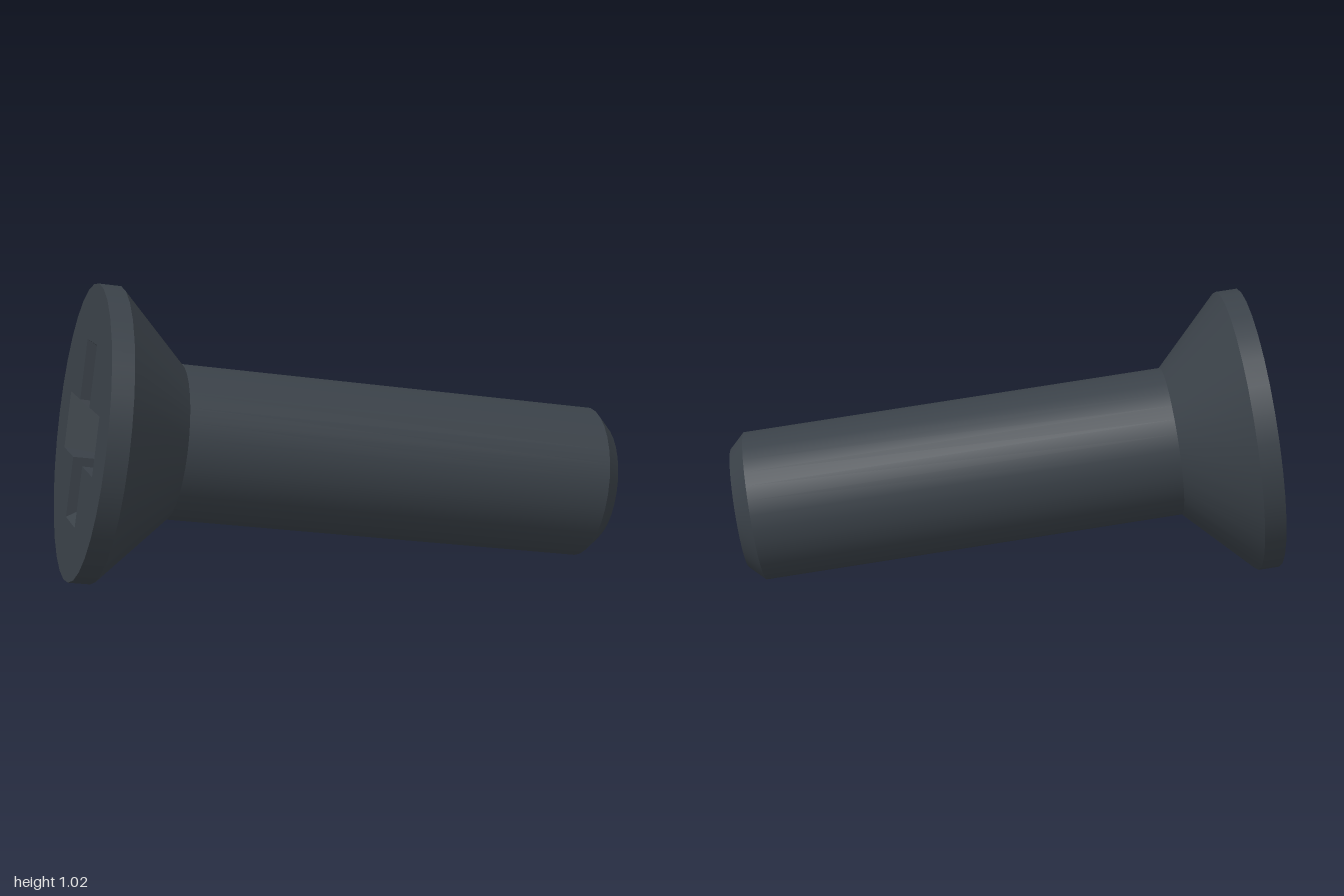
import * as THREE from 'three';

const SEG = 32;
const HEAD_R = 0.508, SHAFT_R = 0.268, TIP_R = 0.215;
const RIM = 0.075, NECK = 0.314, SHAFT_END = 1.825, TIP = 1.88;
// cross recess: half width, arm reach at the face, arm reach at the floor, depth
const W = 0.1, REACH = 0.31, FLOOR = 0.15, DEPTH = 0.27;

// flat faces from quads given as four corners each
function quads(list) {
  const pos = [];
  for (const [a, b, c, d] of list) pos.push(...a, ...b, ...c, ...a, ...c, ...d);
  const g = new THREE.BufferGeometry();
  g.setAttribute('position', new THREE.Float32BufferAttribute(pos, 3));
  g.computeVertexNormals();
  return g;
}

export function createModel() {
  const steel = new THREE.MeshStandardMaterial({ color: 0x3a4148 });
  steel.name = 'dark steel';

  const screw = new THREE.Group();
  screw.name = 'screw';
  const add = (name, geometry, parent = screw) => {
    const mesh = new THREE.Mesh(geometry, steel);
    mesh.name = name;
    parent.add(mesh);
    return mesh;
  };

  // round sections along the local y axis, head face at y = 0
  const section = (name, r0, y0, r1, y1) => {
    const g = new THREE.CylinderGeometry(r1, r0, y1 - y0, SEG, 1, true);
    g.translate(0, (y0 + y1) / 2, 0);
    add(name, g);
  };
  section('headRim', HEAD_R, 0, HEAD_R, RIM);
  section('countersink', HEAD_R, RIM, SHAFT_R, NECK);
  section('shaft', SHAFT_R, NECK, SHAFT_R, SHAFT_END);
  section('tipChamfer', SHAFT_R, SHAFT_END, TIP_R, TIP);
  add('tipFace', new THREE.CircleGeometry(TIP_R, SEG).rotateX(-Math.PI / 2).translate(0, TIP, 0));

  // head face with a cross-shaped opening
  const face = new THREE.Shape();
  face.absarc(0, 0, HEAD_R, 0, Math.PI * 2);
  const outline = [];
  for (let i = 0; i < 4; i++) {
    for (const [x, y] of [[REACH, -W], [REACH, W], [W, W]]) {
      outline.push(new THREE.Vector2(x, y).rotateAround(new THREE.Vector2(), i * Math.PI / 2));
    }
  }
  face.holes.push(new THREE.Path(outline));
  add('headFace', new THREE.ShapeGeometry(face, SEG / 2).rotateX(Math.PI / 2));

  // recess: four arms with straight sides and sloping ends
  const recess = new THREE.Group();
  recess.name = 'crossRecess';
  screw.add(recess);
  const side = (x) => [[x, 0, REACH], [x, 0, W], [x, DEPTH, W], [x, DEPTH, FLOOR]];
  const arm = quads([
    side(W).reverse(),
    side(-W),
    [[-W, DEPTH, FLOOR], [W, DEPTH, FLOOR], [W, 0, REACH], [-W, 0, REACH]],
    [[-W, DEPTH, W], [W, DEPTH, W], [W, DEPTH, FLOOR], [-W, DEPTH, FLOOR]],
  ]);
  for (let i = 0; i < 4; i++) add('recessArm', arm, recess).rotation.y = i * Math.PI / 2;
  add('recessFloor', quads([
    [[-W, DEPTH, -W], [W, DEPTH, -W], [W, DEPTH, W], [-W, DEPTH, W]],
  ]), recess);

  // lay the screw down, leaning on the head rim and the tip
  const axis = new THREE.Vector3(0.969, -0.1376, 0.2054).normalize();
  const across = new THREE.Vector3(-axis.z, 0, axis.x).normalize();
  const up = new THREE.Vector3().crossVectors(across, axis);
  screw.quaternion.setFromRotationMatrix(new THREE.Matrix4().makeBasis(across, axis, up));
  screw.position.set(-0.8745, 0.517, -0.0725);

  const model = new THREE.Group();
  model.name = 'countersunkScrew';
  model.add(screw);
  return model;
}
